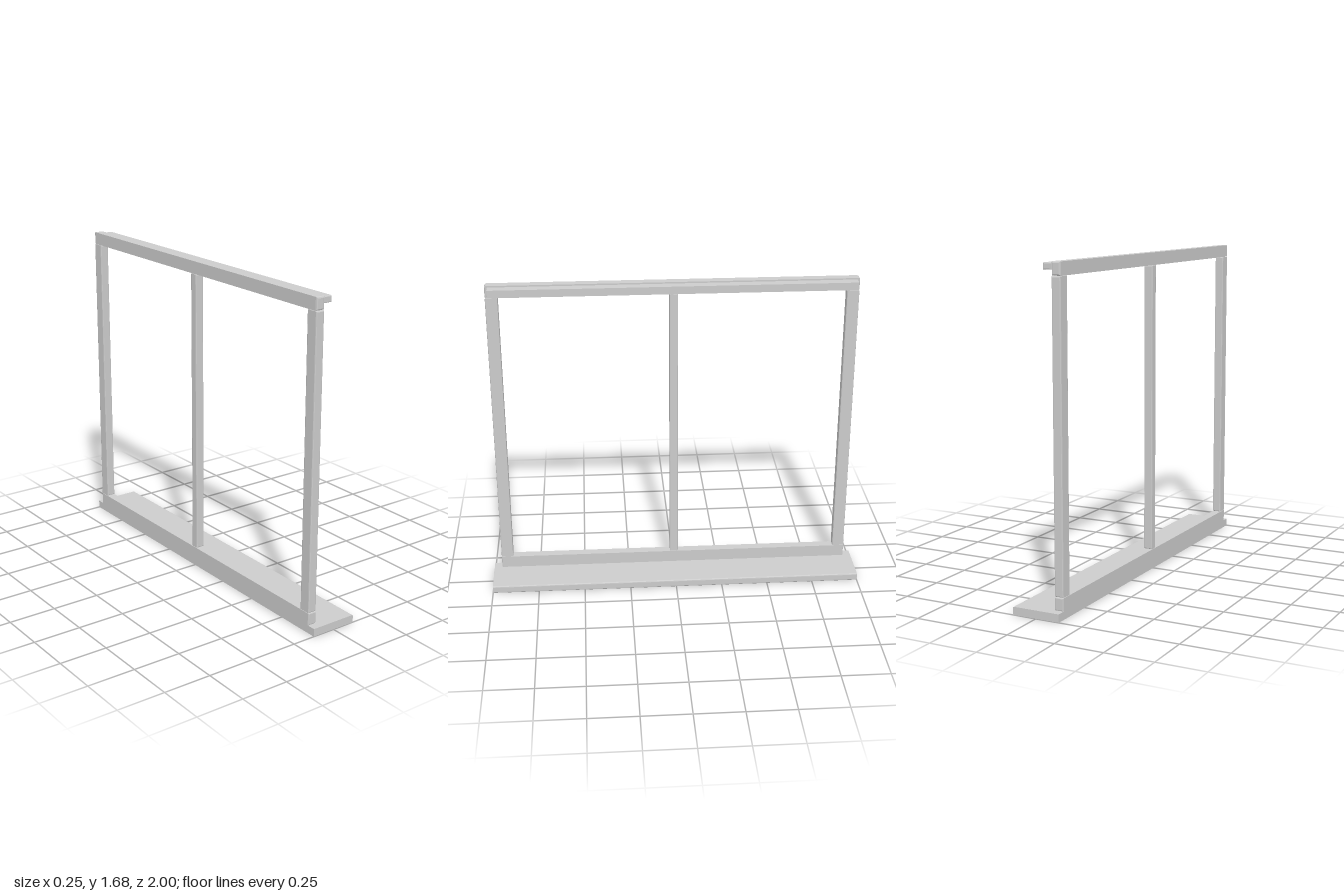
import * as THREE from 'three';

// Box with chamfered edges, given by its min/max on each axis
function chamferedBox(x0, x1, y0, y1, z0, z1, c) {
  const s = new THREE.Shape();
  const a = x0 + c, b = x1 - c, d = y0 + c, e = y1 - c;
  s.moveTo(a, d);
  s.lineTo(b, d);
  s.lineTo(b, e);
  s.lineTo(a, e);
  s.closePath();
  const g = new THREE.ExtrudeGeometry(s, {
    depth: z1 - z0 - 2 * c, bevelEnabled: true,
    bevelThickness: c, bevelSize: c, bevelSegments: 2,
  });
  g.translate(0, 0, z0 + c);
  return g;
}

export function createModel() {
  const model = new THREE.Group();
  model.name = 'windowFrame';
  const grey = new THREE.MeshStandardMaterial({ color: 0xcccccc });
  grey.name = 'paleGrey';

  const add = (name, geometry) => {
    const mesh = new THREE.Mesh(geometry, grey);
    mesh.name = name;
    model.add(mesh);
  };
  const back = -0.127, front = -0.08;

  // Sill board, with only its long front edge eased
  const r = 0.007, w = 0.126, h = 0.041;
  const profile = new THREE.Shape();
  profile.moveTo(-w, 0);
  profile.lineTo(w - r, 0);
  profile.quadraticCurveTo(w, 0, w, r);
  profile.lineTo(w, h - r);
  profile.quadraticCurveTo(w, h, w - r, h);
  profile.lineTo(-w, h);
  profile.closePath();
  const sill = new THREE.ExtrudeGeometry(profile, { depth: 2, bevelEnabled: false, curveSegments: 3 });
  sill.translate(0, 0, -1);
  add('sill', sill);

  // Horizontal rails
  add('bottomRail', chamferedBox(back, front, 0.041, 0.106, -0.958, 0.958, 0.005));
  add('topRail', chamferedBox(back, front, 1.617, 1.682, -0.958, 0.958, 0.008));

  // Side posts and centre mullion
  for (const [name, z0, z1] of [
    ['leftPost', 0.894, 0.958],
    ['rightPost', -0.958, -0.894],
    ['centreMullion', -0.022, 0.022],
  ]) add(name, chamferedBox(back, front, 0.108, 1.615, z0, z1, 0.005));

  // Slim bar along the front of the top rail
  add('headBar', chamferedBox(-0.078, -0.028, 1.643, 1.675, -0.945, 0.945, 0.004));

  return model;
}
